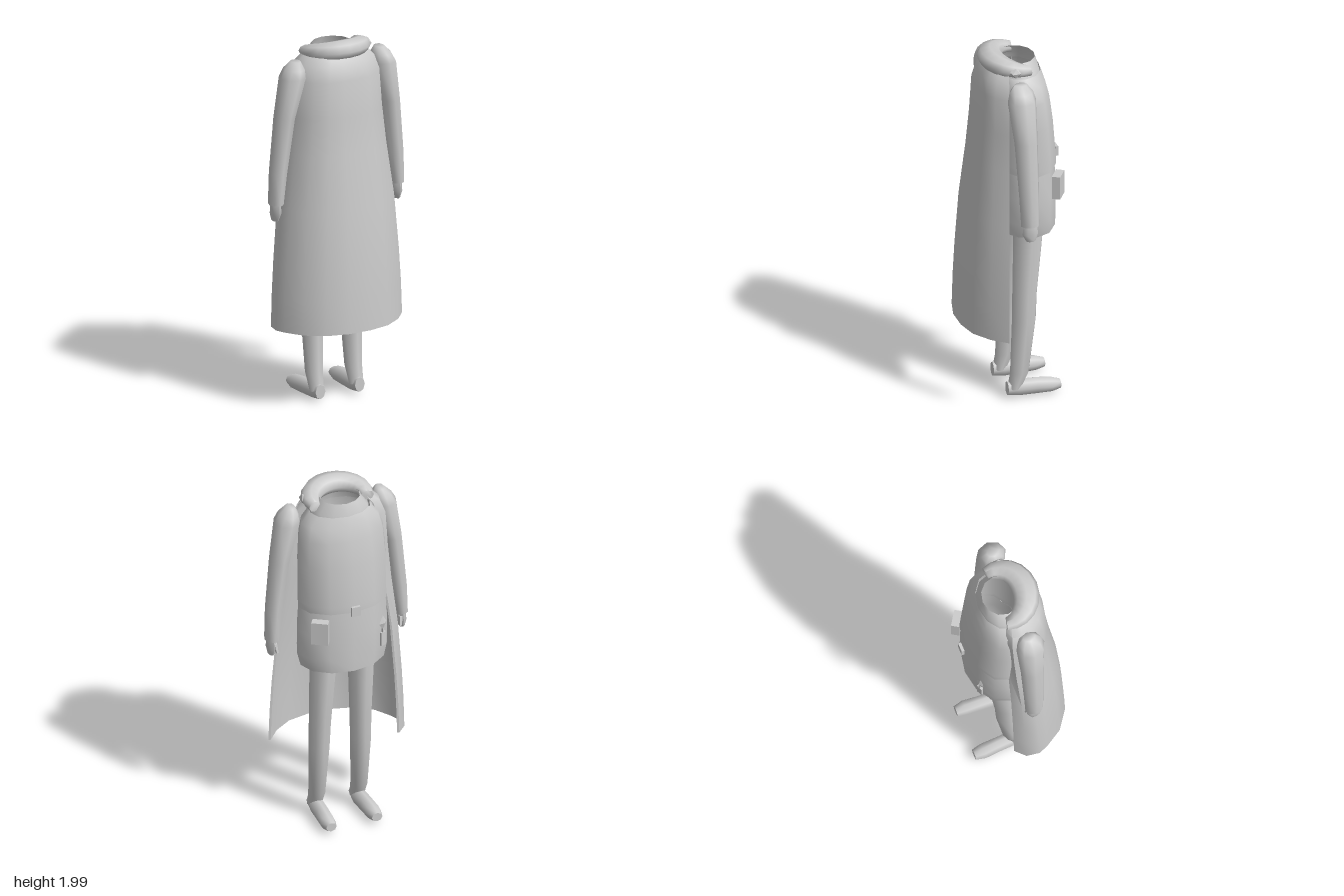
import * as THREE from 'three';
import { toCreasedNormals } from 'three/addons/utils/BufferGeometryUtils.js';

const grey = new THREE.MeshStandardMaterial({ color: 0xcccccc, side: THREE.DoubleSide });
grey.name = 'plain grey';

// Skin a list of closed rings (arrays of [x, y, z]), optionally capping the ends
function skin(rings, { capStart = false, capEnd = false, crease = 0.9 } = {}) {
  const n = rings[0].length, pos = rings.flat(2), index = [];
  for (let i = 0; i < rings.length - 1; i++) {
    for (let j = 0; j < n; j++) {
      const k = (j + 1) % n, a = i * n, b = a + n;
      index.push(a + j, a + k, b + j, a + k, b + k, b + j);
    }
  }
  const last = (rings.length - 1) * n;
  for (let j = 1; j < n - 1; j++) {
    if (capStart) index.push(0, j + 1, j);
    if (capEnd) index.push(last, last + j, last + j + 1);
  }
  const g = new THREE.BufferGeometry();
  g.setAttribute('position', new THREE.Float32BufferAttribute(pos, 3));
  g.setIndex(index);
  return toCreasedNormals(g, crease);
}

// Elliptical loft; sections run upward as [x, y, z, radiusX, radiusZ]
function loft(sections, sides, options) {
  return skin(sections.map(([x, y, z, rx, rz]) =>
    Array.from({ length: sides }, (_, j) => {
      const a = (j / sides) * Math.PI * 2;
      return [x + rx * Math.sin(a), y, z + rz * Math.cos(a)];
    })), options);
}

export function createModel() {
  const model = new THREE.Group();
  const add = (name, geometry, parent = model) => {
    const mesh = new THREE.Mesh(geometry, grey);
    mesh.name = name;
    parent.add(mesh);
    return mesh;
  };

  // Tunic: skirt below the waist, bodice above, open at both ends
  add('tunicSkirt', loft([
    [0, 0.98, -0.083, 0.235, 0.167], [0, 1.06, -0.083, 0.255, 0.168],
    [0, 1.2, -0.085, 0.255, 0.165], [0, 1.36, -0.085, 0.245, 0.16],
  ], 12));
  add('tunicBodice', loft([
    [0, 1.34, -0.085, 0.25, 0.168], [0, 1.38, -0.085, 0.25, 0.168],
    [0, 1.6, -0.075, 0.25, 0.16], [0, 1.75, -0.065, 0.24, 0.15],
    [0, 1.83, -0.055, 0.22, 0.14], [0, 1.885, -0.05, 0.17, 0.125],
  ], 12, { crease: 1.2 }));
  add('neckCollar', loft([
    [0, 1.86, -0.05, 0.165, 0.125], [0, 1.89, -0.05, 0.155, 0.12], [0, 1.95, -0.05, 0.11, 0.1],
  ], 12));

  // Arms, hands, legs and feet, mirrored
  for (const [side, s] of [['left', 1], ['right', -1]]) {
    add(side + 'Sleeve', loft([
      [s * 0.367, 1.13, -0.005, 0.038, 0.05], [s * 0.355, 1.3, -0.003, 0.046, 0.055],
      [s * 0.32, 1.6, 0.002, 0.055, 0.064], [s * 0.275, 1.82, 0.01, 0.07, 0.078],
      [s * 0.265, 1.865, 0.01, 0.055, 0.066], [s * 0.255, 1.905, 0.01, 0.025, 0.035],
    ], 8, { capStart: true, capEnd: true, crease: 1.2 }));
    add(side + 'Hand', loft([
      [s * 0.37, 1.04, -0.008, 0.017, 0.026], [s * 0.368, 1.08, -0.005, 0.027, 0.043],
      [s * 0.368, 1.14, -0.005, 0.024, 0.036],
    ], 6, { capStart: true, capEnd: true }));
    add(side + 'Thumb', loft([
      [s * 0.35, 1.06, -0.042, 0.009, 0.01], [s * 0.357, 1.11, -0.03, 0.012, 0.014],
    ], 5, { capStart: true, capEnd: true }));
    add(side + 'Leg', loft([
      [s * 0.12, 0.06, 0.0, 0.042, 0.036], [s * 0.12, 0.15, -0.03, 0.046, 0.052],
      [s * 0.118, 0.45, -0.055, 0.057, 0.066], [s * 0.115, 0.6, -0.06, 0.06, 0.068],
      [s * 0.108, 0.95, -0.082, 0.072, 0.082], [s * 0.1, 1.08, -0.075, 0.07, 0.08],
    ], 8, { crease: 1.2 }));
    // Foot is lofted from heel to toe, then laid forward
    const foot = loft([
      [s * 0.12, -0.038, 0.06, 0.03, 0.04], [s * 0.12, 0.02, 0.058, 0.04, 0.048],
      [s * 0.125, 0.12, 0.056, 0.04, 0.047], [s * 0.13, 0.2, 0.053, 0.042, 0.041],
      [s * 0.13, 0.25, 0.05, 0.03, 0.025],
    ], 8, { capStart: true, capEnd: true, crease: 1.2 });
    foot.rotateX(-Math.PI / 2);
    add(side + 'Foot', foot);
  }

  // Long cloak: the hem and shoulder outlines are blended down its length
  const hem = [[-0.32, -0.1], [-0.37, -0.05], [-0.38, 0.02], [-0.36, 0.07], [-0.3, 0.165], [-0.2, 0.235],
    [-0.08, 0.268], [0.05, 0.27], [0.17, 0.245], [0.27, 0.18], [0.34, 0.1]];
  const shoulder = [[-0.2, -0.1], [-0.25, -0.08], [-0.265, -0.02], [-0.25, 0.04], [-0.2, 0.11], [-0.13, 0.15],
    [-0.05, 0.165], [0.04, 0.165], [0.11, 0.155], [0.17, 0.12], [0.225, 0.06]];
  // Rows are [height, blend towards hem, outline scale]
  const rows = [[0.44, 1, 1], [0.62, 0.95, 1], [0.8, 0.86, 1], [1.1, 0.65, 1], [1.4, 0.3, 1],
    [1.6, 0.12, 1], [1.8, 0, 1], [1.88, 0, 0.88], [1.92, 0, 0.72]];
  add('cloak', skin(rows.map(([y, t, k]) => {
    const outer = hem.map(([x, z], i) => [
      k * THREE.MathUtils.lerp(shoulder[i][0], x, t), y, k * THREE.MathUtils.lerp(shoulder[i][1], z, t)]);
    const inner = outer.map(([x, , z]) => [x * 0.965, y, z * 0.965]).reverse();
    return [...outer, ...inner];
  }), { crease: 0.8 }));

  // Rolled scarf around the back of the neck, thinning towards both ends
  const scarf = [];
  for (let i = 0; i <= 12; i++) {
    const a = -1.75 + (3.5 * i) / 12, end = Math.abs(a) / 1.75;
    const width = 0.07 - 0.035 * end * end, height = 0.05 - 0.022 * end * end;
    scarf.push(Array.from({ length: 8 }, (_, j) => {
      const b = (j / 8) * Math.PI * 2, r = width * Math.cos(b);
      return [(0.152 + r) * Math.sin(a), 1.95 - 0.025 * end * end + height * Math.sin(b),
        -0.05 + (0.135 + r) * Math.cos(a)];
    }).reverse());
  }
  add('scarfRoll', skin(scarf, { capStart: true, capEnd: true, crease: 1.2 }));

  // Folded knot on the left shoulder
  const knot = add('scarfKnot', new THREE.IcosahedronGeometry(0.034, 0));
  knot.position.set(0.17, 1.935, 0.01);
  knot.scale.set(0.9, 0.9, 1.2);
  const tail = add('knotTail', new THREE.ConeGeometry(0.025, 0.07, 4));
  tail.position.set(0.115, 1.935, 0.005);
  tail.rotation.z = 1.2;

  // Buckle and pouch at the waist
  add('beltBuckle', new THREE.BoxGeometry(0.05, 0.055, 0.016)).position.set(0, 1.358, -0.27);
  const pouch = add('beltPouch', new THREE.BoxGeometry(0.09, 0.13, 0.045));
  pouch.position.set(0.182, 1.245, -0.223);
  pouch.rotation.y = -0.58;

  // Small tool hanging from the skirt
  const tool = new THREE.Group();
  tool.name = 'hangingTool';
  tool.position.set(-0.17, 1.13, -0.232);
  tool.rotation.y = 0.4;
  add('toolHandle', new THREE.BoxGeometry(0.032, 0.08, 0.014), tool);
  const blade = add('toolBlade', new THREE.OctahedronGeometry(0.045), tool);
  blade.scale.set(0.6, 1, 0.25);
  blade.position.y = 0.095;
  add('toolStem', new THREE.BoxGeometry(0.01, 0.03, 0.01), tool).position.y = 0.05;
  model.add(tool);

  return model;
}
